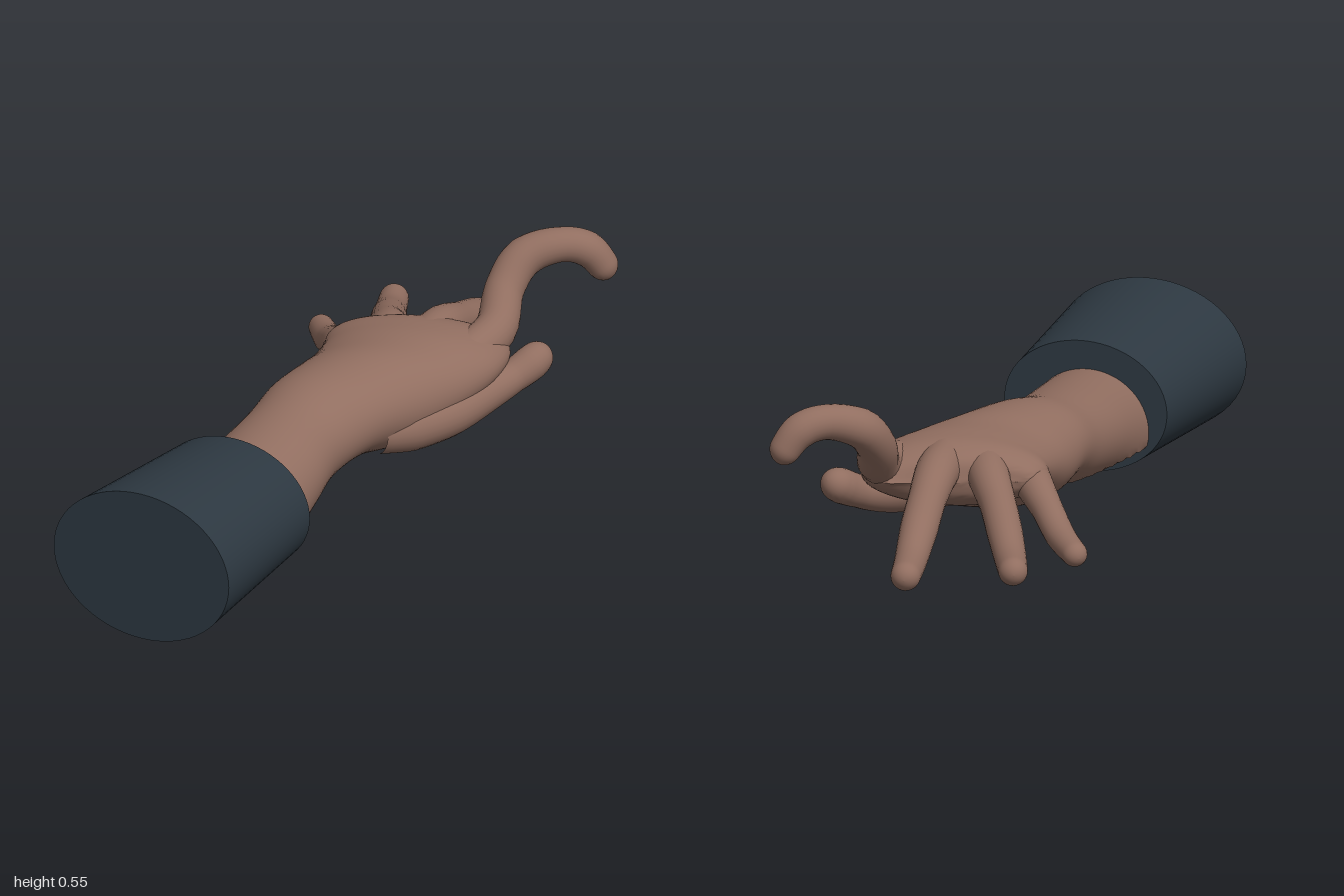
import * as THREE from 'three';
import { toCreasedNormals } from 'three/addons/utils/BufferGeometryUtils.js';

const V = (x, y, z) => new THREE.Vector3(x, y, z);

// Skin a closed tube over rings; point(u, a) gives the surface at length u and angle a
function loft(point, us, sides) {
  const pos = [], index = [];
  us.forEach((u, i) => {
    for (let j = 0; j < sides; j++) {
      pos.push(...point(u, (j / sides) * Math.PI * 2).toArray());
      if (i === 0) continue;
      const k = (j + 1) % sides, p = (i - 1) * sides, q = i * sides;
      index.push(p + j, q + j, p + k, p + k, q + j, q + k);
    }
  });
  const g = new THREE.BufferGeometry();
  g.setAttribute('position', new THREE.Float32BufferAttribute(pos, 3));
  g.setIndex(index);
  g.computeVertexNormals();
  return g;
}

// Finger: rows of [x, y, z, radius], ending in a rounded tip
function fingerGeometry(rows) {
  const curve = new THREE.CatmullRomCurve3(rows.map(r => V(r[0], r[1], r[2])));
  const length = curve.getLength();
  const us = Array.from({ length: 41 }, (_, i) => Math.sin((i / 40) * Math.PI / 2));
  const point = (u, a) => {
    const t = curve.getUtoTmapping(u) * (rows.length - 1);
    const k = Math.min(Math.floor(t), rows.length - 2);
    let r = THREE.MathUtils.lerp(rows[k][3], rows[k + 1][3], t - k);
    const s = (1 - u) * length / r;
    if (s < 1) r *= Math.sqrt(Math.max(0, 1 - (1 - s) ** 2));
    const T = curve.getTangentAt(u);
    const S = T.clone().cross(V(0, 1, 0)).normalize();
    const U = S.clone().cross(T);
    return curve.getPointAt(u).addScaledVector(S, r * Math.cos(a)).addScaledVector(U, r * Math.sin(a));
  };
  return loft(point, us, 24);
}

// Forearm and palm: oval sections between a left and a right edge, with a flat underside on the arm
function armGeometry() {
  // [left x, left z, right x, right z, top y, bottom y]
  const rows = [
    [-0.375, 0.48, -0.05, 0.58, 0.3, -0.02],
    [-0.345, 0.39, -0.025, 0.46, 0.31, 0.0],
    [-0.3, 0.24, 0.005, 0.29, 0.325, 0.06],
    [-0.25, 0.08, 0.03, 0.14, 0.345, 0.1],
    [-0.222, -0.03, 0.1, 0.03, 0.37, 0.13],
    [-0.19, -0.14, 0.2, -0.11, 0.38, 0.115],
    [-0.155, -0.24, 0.285, -0.22, 0.38, 0.145],
    [-0.135, -0.33, 0.34, -0.32, 0.382, 0.18],
    [-0.135, -0.4, 0.35, -0.41, 0.375, 0.205],
    [-0.105, -0.45, 0.32, -0.475, 0.345, 0.24],
    [-0.06, -0.465, 0.27, -0.5, 0.29, 0.29],
  ];
  const left = new THREE.CatmullRomCurve3(rows.map(r => V(r[0], r[4], r[1])));
  const right = new THREE.CatmullRomCurve3(rows.map(r => V(r[2], r[5], r[3])));
  const us = Array.from({ length: 61 }, (_, i) => i / 60);
  const point = (u, a) => {
    const l = left.getPoint(u), r = right.getPoint(u);
    const w = (1 + Math.cos(a)) / 2, h = (1 + Math.sin(a)) / 2;
    return V(l.x + (r.x - l.x) * w, Math.max(0.11, r.y + (l.y - r.y) * h), l.z + (r.z - l.z) * w);
  };
  return toCreasedNormals(loft(point, us, 56), 0.6);
}

export function createModel() {
  const skin = new THREE.MeshStandardMaterial({ color: 0x916e60 });
  skin.name = 'skin';
  const cloth = new THREE.MeshStandardMaterial({ color: 0x2d3841 });
  cloth.name = 'dark cloth';

  const model = new THREE.Group();
  model.name = 'armWithSleeve';
  const add = (name, geometry, material) => {
    const mesh = new THREE.Mesh(geometry, material);
    mesh.name = name;
    model.add(mesh);
  };

  // Flattened, tapered cuff
  const sleeve = new THREE.CylinderGeometry(0.226, 0.264, 0.478, 64);
  sleeve.rotateX(-Math.PI / 2).scale(1, 0.78, 1).rotateY(-0.309).translate(-0.257, 0.206, 0.69);
  add('sleeve', sleeve, cloth);

  add('forearmAndPalm', armGeometry(), skin);

  // Fingers start inside the palm
  const fingers = {
    thumb: [[0.07, 0.2, -0.05, 0.06], [0.14, 0.19, -0.13, 0.07], [0.225, 0.195, -0.22, 0.065],
      [0.305, 0.215, -0.33, 0.054], [0.36, 0.235, -0.39, 0.044], [0.4, 0.26, -0.43, 0.047], [0.435, 0.29, -0.475, 0.04]],
    indexFinger: [[0.25, 0.3, -0.35, 0.06], [0.3, 0.335, -0.46, 0.056], [0.303, 0.41, -0.55, 0.052],
      [0.34, 0.475, -0.61, 0.053], [0.43, 0.503, -0.65, 0.046], [0.495, 0.485, -0.675, 0.047], [0.555, 0.405, -0.695, 0.038]],
    middleFinger: [[0.13, 0.32, -0.36, 0.06], [0.15, 0.315, -0.48, 0.057], [0.168, 0.28, -0.6, 0.05],
      [0.182, 0.24, -0.72, 0.05], [0.196, 0.195, -0.85, 0.043], [0.206, 0.185, -1.0, 0.038]],
    ringFinger: [[0.03, 0.31, -0.34, 0.06], [0.015, 0.3, -0.46, 0.055], [-0.015, 0.265, -0.58, 0.048],
      [-0.04, 0.225, -0.7, 0.047], [-0.062, 0.19, -0.82, 0.042], [-0.077, 0.185, -0.94, 0.037]],
    littleFinger: [[-0.07, 0.28, -0.3, 0.055], [-0.1, 0.265, -0.41, 0.05], [-0.14, 0.23, -0.51, 0.041],
      [-0.18, 0.19, -0.61, 0.039], [-0.235, 0.17, -0.74, 0.032]],
  };
  for (const [name, rows] of Object.entries(fingers)) add(name, fingerGeometry(rows), skin);

  return model;
}
